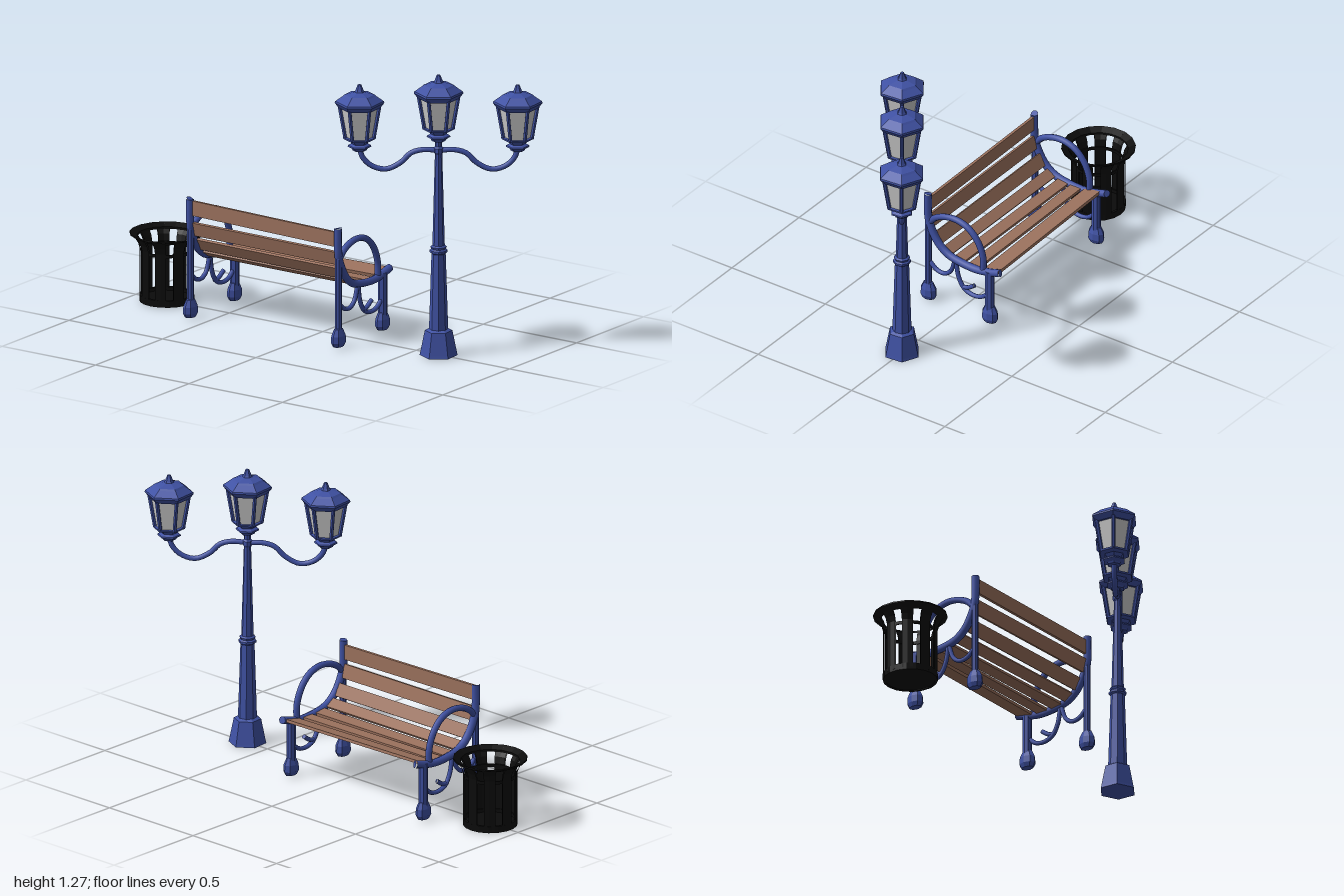
import * as THREE from 'three';

const mat = (color, flatShading = true, side = THREE.FrontSide) =>
  new THREE.MeshStandardMaterial({ color, flatShading, side });
const blue = mat(0x3f51a3);
const blueSmooth = mat(0x3f51a3, false);
const wood = mat(0x9b715d);
const black = mat(0x0b0b0b, true, THREE.DoubleSide);
const glass = mat(0xcccccc);

function add(parent, name, geometry, material, x = 0, y = 0, z = 0) {
  const m = new THREE.Mesh(geometry, material);
  m.name = name;
  m.position.set(x, y, z);
  parent.add(m);
  return m;
}
const group = (parent, name, x = 0, y = 0, z = 0) => {
  const g = new THREE.Group();
  g.name = name;
  g.position.set(x, y, z);
  parent.add(g);
  return g;
};
// Profile is listed from bottom to top as [radius, height]; corners lie on the x axis
const lathe = (profile, sides, start = Math.PI / 2, sweep = Math.PI * 2) =>
  new THREE.LatheGeometry(profile.map(p => new THREE.Vector2(...p)), sides, start, sweep);

// Tube through [x, y] points with closed ends
function tube(parent, name, pts, r, segments = 24) {
  const path = new THREE.CatmullRomCurve3(pts.map(p => new THREE.Vector3(p[0], p[1], 0)));
  const g = group(parent, name);
  add(g, name + 'Tube', new THREE.TubeGeometry(path, segments, r, 8), blueSmooth);
  for (const t of [0, 1]) {
    const cap = add(g, name + 'Cap', new THREE.CircleGeometry(r, 8), blue);
    const p = path.getPoint(t);
    cap.position.copy(p);
    cap.lookAt(p.clone().addScaledVector(path.getTangent(t), t ? 1 : -1));
  }
  return g;
}

// Round bar between two points
function bar(parent, name, a, b, r, sides = 6) {
  const d = b.clone().sub(a);
  const m = add(parent, name, new THREE.CylinderGeometry(r, r, d.length(), sides), blue);
  m.position.copy(a).addScaledVector(d, 0.5);
  m.quaternion.setFromUnitVectors(new THREE.Vector3(0, 1, 0), d.normalize());
}

// Six-sided lantern, origin at the bottom of its cup
function lantern(parent, name, x, y) {
  const g = group(parent, name, x, y, 0);
  add(g, 'cup', lathe([[0, 0], [0.03, 0], [0.034, 0.008], [0.052, 0.018], [0.05, 0.024],
    [0.036, 0.032], [0.046, 0.046], [0.07, 0.052], [0.072, 0.06], [0, 0.06]], 6), blue);
  add(g, 'panes', lathe([[0.056, 0.058], [0.08, 0.2]], 6), glass);
  for (let i = 0; i < 6; i++) {
    const a = i * Math.PI / 3, c = Math.cos(a), s = Math.sin(a);
    bar(g, 'paneBar', new THREE.Vector3(c * 0.062, 0.055, s * 0.062),
      new THREE.Vector3(c * 0.087, 0.2, s * 0.087), 0.009);
  }
  add(g, 'roof', lathe([[0, 0.192], [0.09, 0.192], [0.108, 0.215], [0.106, 0.223], [0.074, 0.246],
    [0.066, 0.253], [0.022, 0.265], [0.018, 0.272], [0.008, 0.298], [0, 0.3]], 6), blue);
}

function lampPost() {
  const g = new THREE.Group();
  g.name = 'lampPost';
  add(g, 'base', lathe([[0, 0], [0.083, 0], [0.08, 0.012], [0.06, 0.112], [0.045, 0.12], [0, 0.12]], 6), blue);
  add(g, 'post', lathe([[0.042, 0.11], [0.031, 0.46], [0.039, 0.466], [0.039, 0.476], [0.032, 0.482],
    [0.036, 0.492], [0.027, 0.498], [0.016, 0.91], [0.022, 0.92], [0.022, 0.938], [0.015, 0.945],
    [0.015, 0.98]], 8), blue);
  lantern(g, 'middleLantern', 0, 0.97);
  const reach = 0.344;
  const arm = [[0, 0.927], [0.2, 0.93], [0.35, 0.915], [0.48, 0.872], [0.67, 0.842],
    [0.85, 0.858], [0.96, 0.895], [1, 0.935]];
  for (const s of [-1, 1]) {
    tube(g, s > 0 ? 'frontArm' : 'backArm', arm.map(p => [p[0] * reach * s, p[1]]), 0.012);
    lantern(g, s > 0 ? 'frontLantern' : 'backLantern', reach * s, 0.926);
  }
  return g;
}

// One iron end of the bench
function benchEnd(parent, name, z) {
  const g = group(parent, name, 0, 0, z);
  tube(g, 'seatRail', [[-0.165, 0.54], [-0.165, 0.47], [-0.161, 0.41], [-0.14, 0.355], [-0.105, 0.302],
    [-0.055, 0.266], [0.02, 0.249], [0.1, 0.245], [0.16, 0.255], [0.222, 0.272]], 0.0175, 40);
  tube(g, 'armrest', [[-0.155, 0.4], [-0.12, 0.433], [-0.06, 0.457], [0, 0.459], [0.06, 0.435],
    [0.105, 0.385], [0.13, 0.32], [0.132, 0.25]], 0.0145, 32);
  tube(g, 'backBrace', [[-0.155, 0.195], [-0.12, 0.166], [-0.08, 0.16], [-0.045, 0.183], [-0.02, 0.25]], 0.01);
  tube(g, 'frontBrace', [[0.155, 0.14], [0.12, 0.113], [0.075, 0.106], [0.03, 0.122], [0, 0.17], [-0.015, 0.25]], 0.01);
  tube(g, 'scroll', [[0.02, 0.128], [0.05, 0.135], [0.085, 0.158]], 0.01, 8);
  for (const [leg, x, top, r] of [['backLeg', -0.162, 0.43, 0.0155], ['frontLeg', 0.167, 0.262, 0.021]]) {
    add(g, leg, new THREE.CylinderGeometry(r, r, top - 0.06, 8), blue, x, (top + 0.06) / 2, 0);
    const foot = add(g, leg + 'Foot', lathe([[0, 0.004], [0.03, 0.006], [0.041, 0.025], [0.039, 0.055],
      [0.024, 0.085], [0, 0.092]], 8), blue, x, 0, 0);
    foot.scale.z = 0.68;
  }
}

function bench() {
  const g = new THREE.Group();
  g.name = 'bench';
  benchEnd(g, 'frontBenchEnd', 0.2);
  benchEnd(g, 'backBenchEnd', -0.592);
  // Slats: x, y, width, tilt in degrees, slight skew about y and x
  const slats = [
    [-0.162, 0.494, 0.067, -90, 0, 0.016], [-0.155, 0.403, 0.063, -76, 0, 0.004],
    [-0.117, 0.326, 0.06, -60, 0, 0.004], [-0.068, 0.276, 0.05, -33, 0, 0],
    [-0.003, 0.254, 0.054, -8, 0, 0], [0.07, 0.25, 0.055, 0, 0.014, 0],
    [0.162, 0.262, 0.085, 12, 0.027, 0]];
  slats.forEach(([x, y, w, tilt, ry, rx], i) => {
    const m = add(g, i < 3 ? 'backSlat' : 'seatSlat', new THREE.BoxGeometry(w, 0.013, 0.79), wood, x, y, -0.196);
    m.rotation.set(rx, ry, THREE.MathUtils.degToRad(tilt));
  });
  return g;
}

function litterBin() {
  const g = new THREE.Group();
  g.name = 'litterBin';
  const n = 9, pitch = Math.PI * 2 / n;
  // Upright strips that flare out to the rim
  for (let i = 0; i < n; i++) {
    add(g, 'strip', lathe([[0.112, 0.01], [0.119, 0.01], [0.119, 0.24], [0.126, 0.265], [0.14, 0.288],
      [0.155, 0.3], [0.148, 0.304], [0.134, 0.292], [0.119, 0.268], [0.112, 0.24], [0.112, 0.01]],
      2, i * pitch, pitch * 0.6), black);
  }
  const ring = (name, r0, r1, y0, y1) =>
    add(g, name, lathe([[r0, y0], [r1, y0], [r1, y1], [r0, y1], [r0, y0]], 18), black);
  ring('bottomBand', 0.108, 0.12, 0, 0.03);
  ring('upperBand', 0.108, 0.114, 0.222, 0.236);
  add(g, 'rim', lathe([[0.13, 0.286], [0.163, 0.304], [0.162, 0.31], [0.13, 0.296], [0.13, 0.286]], 18), black);
  add(g, 'floor', new THREE.CylinderGeometry(0.11, 0.11, 0.012, 18), black, 0, 0.008, 0);
  return g;
}

export function createModel() {
  const model = new THREE.Group();
  model.name = 'streetFurniture';
  const lamp = lampPost();
  lamp.position.set(-0.002, 0, 0.621);
  lamp.rotation.y = -0.951;
  const bin = litterBin();
  bin.position.set(0.003, 0, -0.837);
  model.add(lamp, bench(), bin);
  return model;
}
